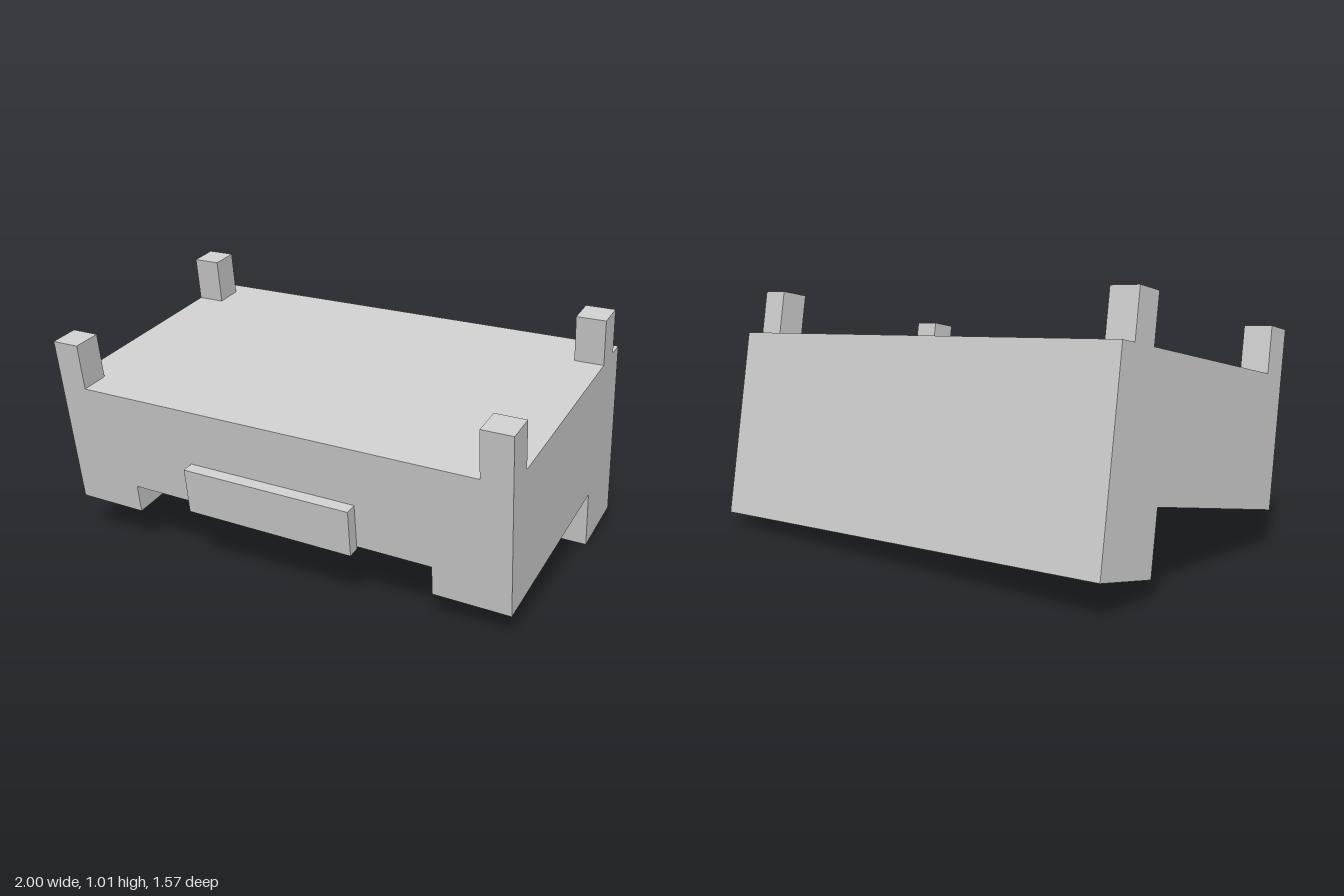
import * as THREE from 'three';

const material = new THREE.MeshStandardMaterial({ color: 0xcccccc, flatShading: true });

export function createModel() {
  const model = new THREE.Group();
  const cabinet = new THREE.Group();
  cabinet.name = 'tiltedCabinet';
  model.add(cabinet);

  // Box given by its min and max corners
  const box = (name, [x0, y0, z0], [x1, y1, z1]) => {
    const geometry = new THREE.BoxGeometry(x1 - x0, y1 - y0, z1 - z0);
    geometry.translate((x0 + x1) / 2, (y0 + y1) / 2, (z0 + z1) / 2);
    const mesh = new THREE.Mesh(geometry, material);
    mesh.name = name;
    cabinet.add(mesh);
  };

  const half = 0.91, top = 0.734, depth = 1.082, backDepth = 0.286;
  const railBottom = 0.232, ceiling = 0.345, channelHalf = 0.624;

  // Deep block along the back
  box('backBlock', [-half, 0, 0], [half, top, backDepth]);

  // Main body with a channel between two rails underneath
  const profile = new THREE.Shape([
    [-half, railBottom], [-channelHalf, railBottom], [-channelHalf, ceiling],
    [channelHalf, ceiling], [channelHalf, railBottom], [half, railBottom],
    [half, top], [-half, top],
  ].map(([x, y]) => new THREE.Vector2(x, y)));
  const bodyGeometry = new THREE.ExtrudeGeometry(profile, {
    depth: depth - backDepth, bevelEnabled: false,
  });
  bodyGeometry.translate(0, 0, backDepth);
  const body = new THREE.Mesh(bodyGeometry, material);
  body.name = 'body';
  cabinet.add(body);

  // Bar under the body, against the back block
  box('underBar', [-channelHalf, 0.182, backDepth], [0.473, ceiling, 0.417]);

  // Raised panel on the front
  box('frontPanel', [-0.34, 0.335, depth], [0.34, 0.515, 1.128]);

  // Four corner posts
  const post = 0.112;
  for (const [name, x, z] of [
    ['frontLeftPost', half - post, depth - post],
    ['frontRightPost', -half, depth - post],
    ['backLeftPost', half - post, 0.068],
    ['backRightPost', -half, 0.068],
  ]) box(name, [x, top, z], [x + post, 0.912, z + post]);

  // The whole piece leans forward and turns to its right
  cabinet.rotation.set(0.198, -0.197, 0);
  cabinet.position.set(0.107, 0.09, -0.61);
  // The turn is written as x then y, so rows of posts stay parallel
  cabinet.rotation.y = -0.197;
  return model;
}
